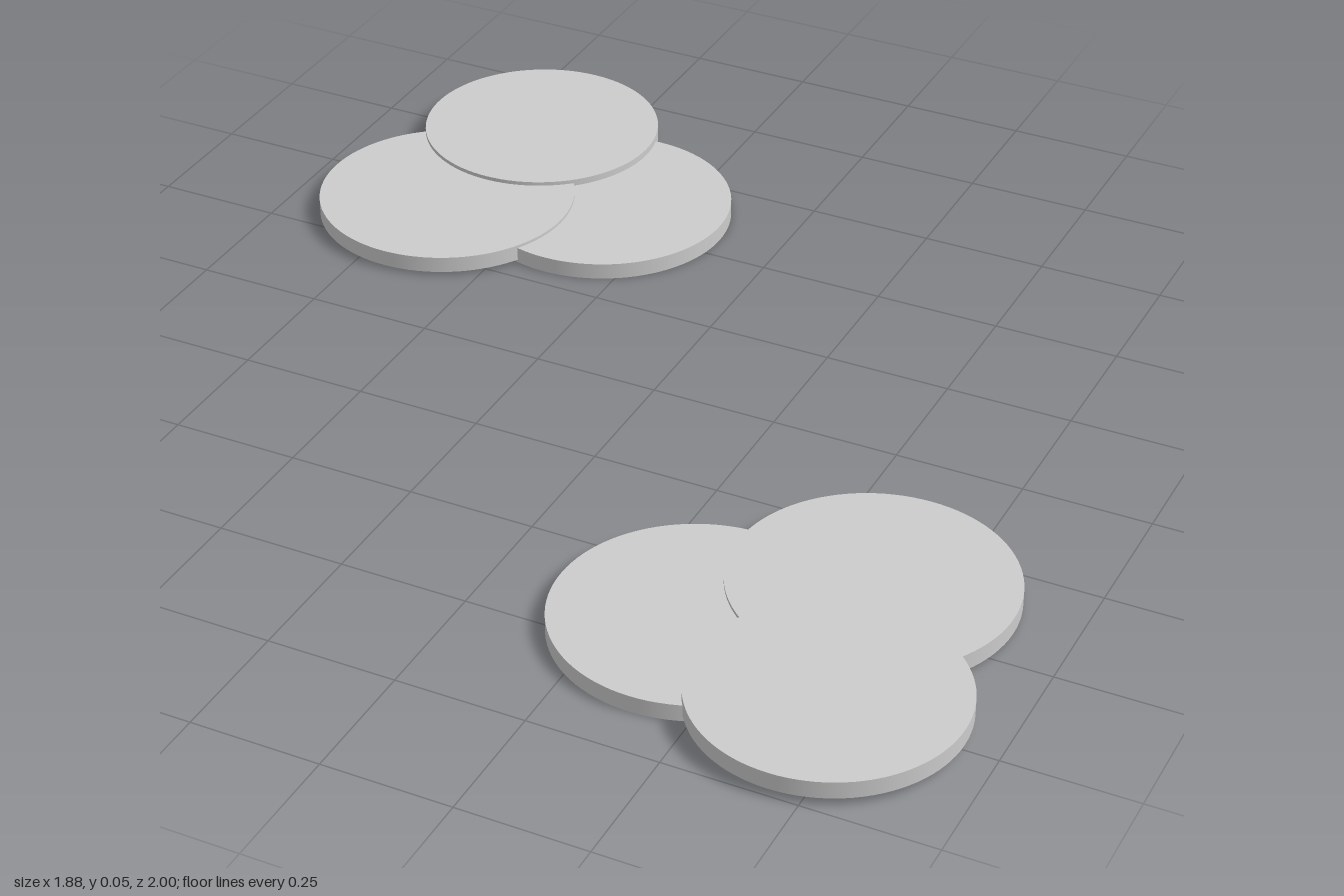
import * as THREE from 'three';

const THICKNESS = 0.033;

// Each disc: name, x, z, radius, underside height
const CLUSTERS = {
  backRightCluster: [
    ['lowerDisc', -0.387, -0.555, 0.262, 0],
    ['middleDisc', -0.683, -0.427, 0.262, 0.006],
    ['upperDisc', -0.634, -0.754, 0.246, 0.014],
  ],
  frontLeftCluster: [
    ['lowerDisc', 0.395, 0.64, 0.262, 0],
    ['middleDisc', 0.635, 0.425, 0.262, 0.006],
    ['upperDisc', 0.694, 0.754, 0.246, 0.015],
  ],
};

export function createModel() {
  const model = new THREE.Group();
  const material = new THREE.MeshStandardMaterial({ color: 0xcccccc });

  // Two clusters of three overlapping flat discs
  for (const [clusterName, discs] of Object.entries(CLUSTERS)) {
    const cluster = new THREE.Group();
    cluster.name = clusterName;
    for (const [name, x, z, radius, bottom] of discs) {
      const disc = new THREE.Mesh(new THREE.CylinderGeometry(radius, radius, THICKNESS, 96), material);
      disc.name = name;
      disc.position.set(x, bottom + THICKNESS / 2, z);
      cluster.add(disc);
    }
    model.add(cluster);
  }
  return model;
}
